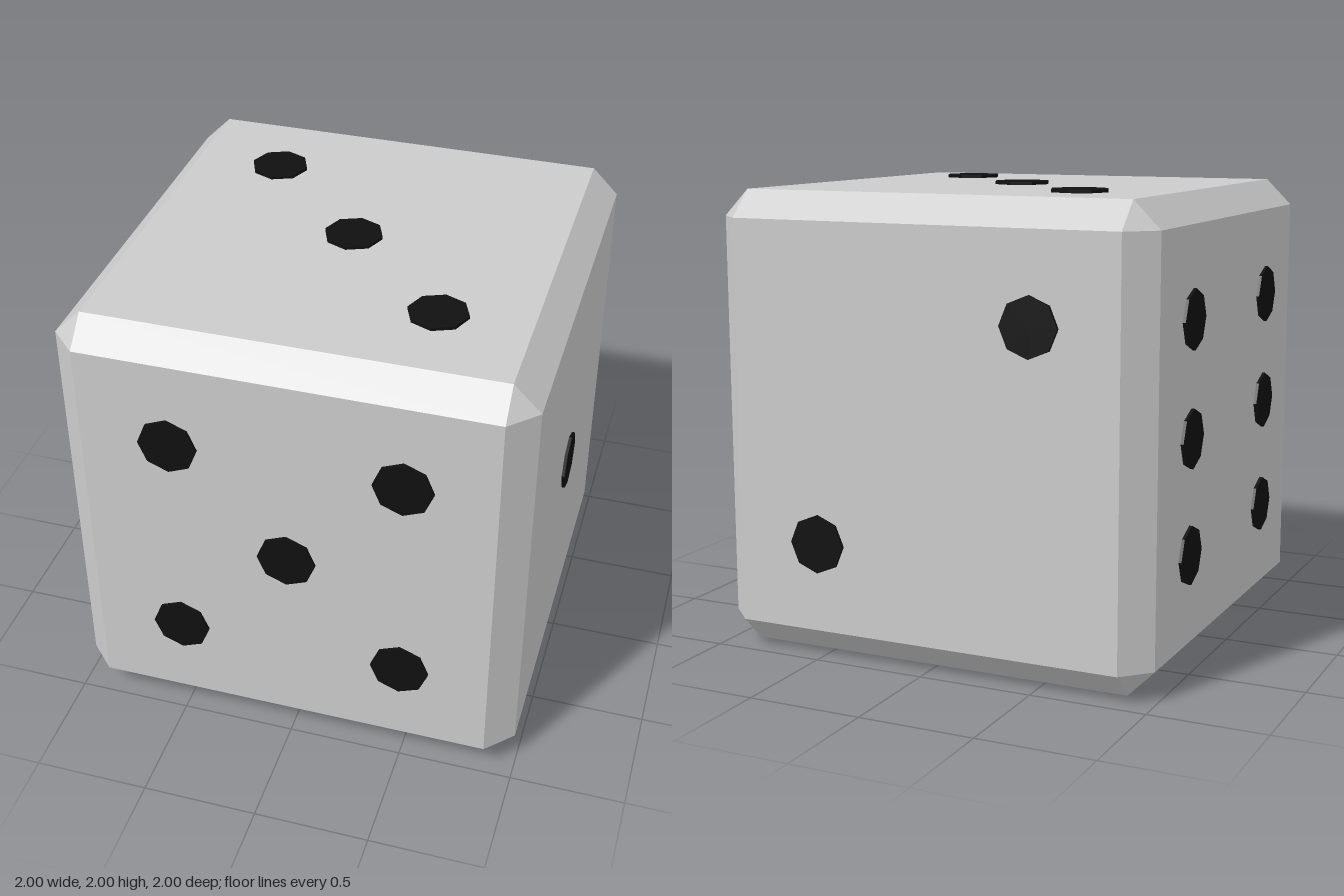
import * as THREE from 'three';
import { ConvexGeometry } from 'three/addons/geometries/ConvexGeometry.js';

const HALF = 0.987;   // centre to flat face
const INNER = 0.872;  // where the bevel begins
const PIP = 0.49;     // pip spacing
const PIP_OUT = 1;    // centre to pip surface

export function createModel() {
  const die = new THREE.Group();
  die.name = 'die';

  // Cube with bevelled edges and triangular corners
  const corners = [];
  for (const x of [-1, 1]) for (const y of [-1, 1]) for (const z of [-1, 1]) {
    corners.push(
      new THREE.Vector3(x * HALF, y * INNER, z * INNER),
      new THREE.Vector3(x * INNER, y * HALF, z * INNER),
      new THREE.Vector3(x * INNER, y * INNER, z * HALF));
  }
  const body = new THREE.Mesh(
    new ConvexGeometry(corners),
    new THREE.MeshStandardMaterial({ color: 0xcccccc, flatShading: true }));
  body.name = 'body';
  body.position.y = 1;
  die.add(body);

  // Thin eight-sided pip, lying on a face that looks along +z
  const depth = 2 * (PIP_OUT - HALF);
  const pipGeometry = new THREE.CylinderGeometry(0.126, 0.126, depth, 8).rotateX(Math.PI / 2);
  const pipMaterial = new THREE.MeshStandardMaterial({ color: 0x101010, flatShading: true });

  // Per face: turn about x, turn about y, pip places (right, up) seen from outside
  const four = [[-1, -1], [1, -1], [-1, 1], [1, 1]];
  const q = Math.PI / 2;
  const faces = [
    ['frontPips', 0, 0, [...four, [0, 0]]],
    ['backPips', 0, 2 * q, [[1, 1], [-1, -1]]],
    ['leftPips', 0, q, [[0, 0]]],
    ['rightPips', 0, -q, [...four, [-1, 0], [1, 0]]],
    ['topPips', -q, 0, [[-1, 1], [0, 0], [1, -1]]],
    ['bottomPips', q, 0, four],
  ];
  for (const [name, rx, ry, places] of faces) {
    const face = new THREE.Group();
    face.name = name;
    for (const [u, v] of places) {
      const pip = new THREE.Mesh(pipGeometry, pipMaterial);
      pip.name = 'pip';
      pip.position.set(u * PIP, v * PIP, PIP_OUT - depth / 2);
      face.add(pip);
    }
    face.rotation.set(rx, ry, 0);
    face.position.y = 1;
    die.add(face);
  }
  return die;
}
